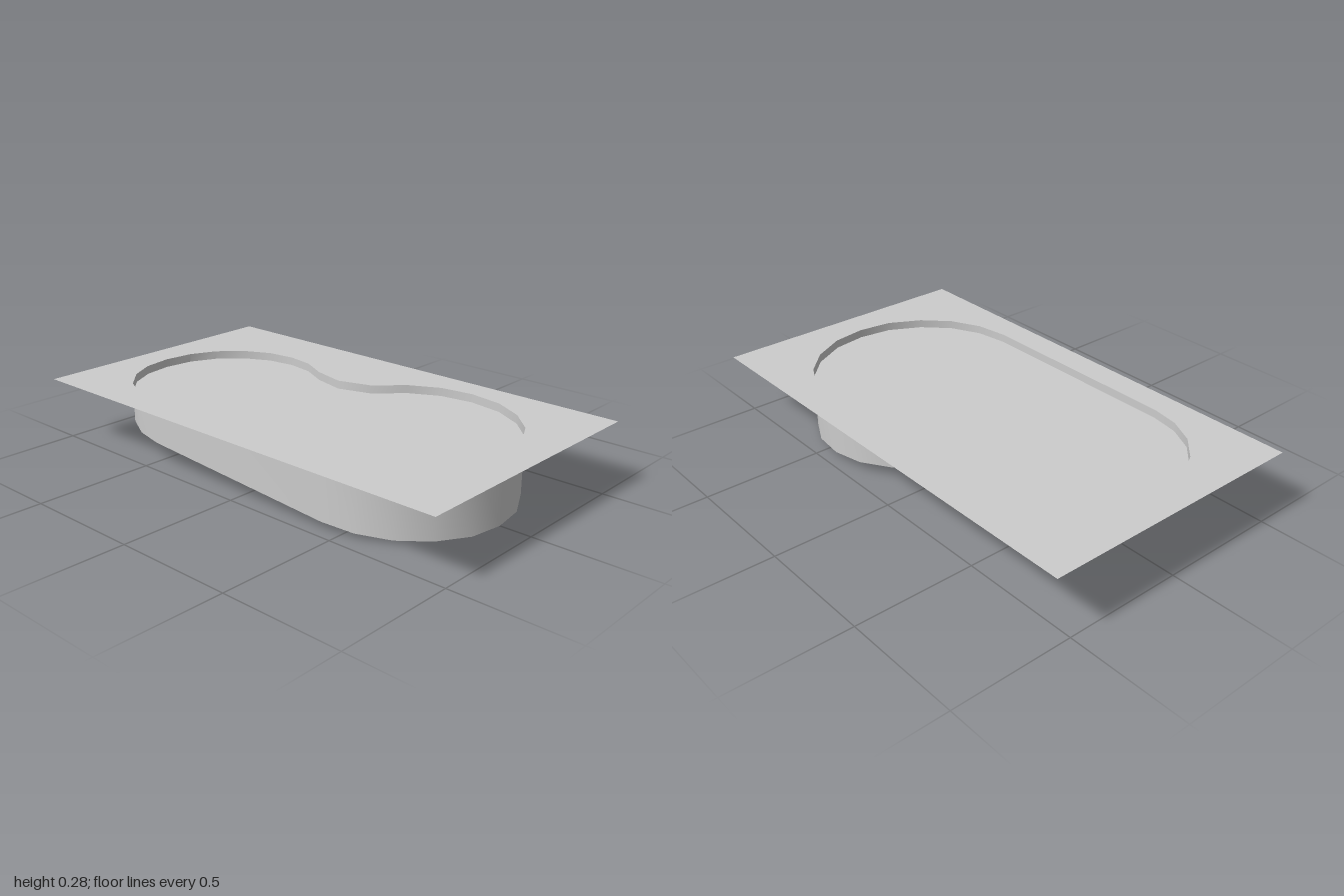
import * as THREE from 'three';
import { toCreasedNormals } from 'three/addons/utils/BufferGeometryUtils.js';

const TOP = 0.275, WATER = 0.24, TREADS = [0.21, 0.165];
const floorY = (x) => 0.0597 * (1 - x / 0.87) ;

// Basin outline as [x, z]; the first three and last two points span the entry steps
const OUTLINE = [
  [-0.87, 0.065], [-0.853, -0.06], [-0.80, -0.17], [-0.71, -0.26], [-0.60, -0.315],
  [-0.48, -0.333], [-0.36, -0.315], [-0.245, -0.258], [-0.105, -0.225], [0.04, -0.27],
  [0.145, -0.375], [0.27, -0.44], [0.41, -0.46], [0.555, -0.438], [0.68, -0.373],
  [0.78, -0.275], [0.85, -0.14], [0.87, 0], [0.85, 0.14], [0.78, 0.27],
  [0.68, 0.37], [0.555, 0.433], [0.42, 0.455], [-0.48, 0.455], [-0.60, 0.435],
  [-0.71, 0.38], [-0.80, 0.29], [-0.853, 0.185],
];

const material = new THREE.MeshStandardMaterial({ color: 0xcccccc, side: THREE.DoubleSide });

function add(group, name, geometry) {
  const mesh = new THREE.Mesh(geometry, material);
  mesh.name = name;
  group.add(mesh);
}

const toPlan = (points) => points.map(([x, z]) => new THREE.Vector2(x, -z));

// Horizontal sheet whose height follows a rule in x
function sheet(points, heightAt, hole) {
  const shape = new THREE.Shape(toPlan(points));
  if (hole) shape.holes.push(new THREE.Path(toPlan(hole)));
  const geometry = new THREE.ShapeGeometry(shape).rotateX(-Math.PI / 2);
  const pos = geometry.attributes.position;
  for (let i = 0; i < pos.count; i++) pos.setY(i, heightAt(pos.getX(i)));
  geometry.computeVertexNormals();
  return geometry;
}

// Upright strip along a path; bottomAt receives x and the segment's middle x
function strip(points, top, bottomAt) {
  const verts = [];
  for (let i = 0; i + 1 < points.length; i++) {
    const [ax, az] = points[i], [bx, bz] = points[i + 1];
    const mid = (ax + bx) / 2;
    const ay = bottomAt(ax, mid), by = bottomAt(bx, mid);
    verts.push(ax, ay, az, ax, top, az, bx, top, bz, ax, ay, az, bx, top, bz, bx, by, bz);
  }
  const geometry = new THREE.BufferGeometry();
  geometry.setAttribute('position', new THREE.Float32BufferAttribute(verts, 3));
  return toCreasedNormals(geometry, 0.75);
}

// Rounded step edge around the entry point, from outline point a to b
function stepArc(a, b, segments = 10) {
  const [cx, cz] = OUTLINE[0];
  const polar = ([x, z]) => [Math.atan2(z - cz, x - cx), Math.hypot(x - cx, z - cz)];
  const [a0, r0] = polar(a), [a1, r1] = polar(b);
  return Array.from({ length: segments + 1 }, (_, i) => {
    const t = i / segments, angle = a0 + (a1 - a0) * t, r = r0 + (r1 - r0) * t;
    return [cx + r * Math.cos(angle), cz + r * Math.sin(angle)];
  });
}

export function createModel() {
  const group = new THREE.Group();
  group.name = 'pool';
  const n = OUTLINE.length;

  // Flat surround with the basin cut out, and the water just below it
  const deck = [[-1, -0.57], [1, -0.57], [1, 0.57], [-1, 0.57]];
  add(group, 'deck', sheet(deck, () => TOP, OUTLINE));
  add(group, 'water', sheet(OUTLINE, () => WATER));

  // Basin wall, shortened where it meets the steps
  const wallBottom = (x, mid) =>
    mid < -0.853 ? TREADS[0] : mid < -0.80 ? TREADS[1] : floorY(x);
  add(group, 'basinWall', strip([...OUTLINE, OUTLINE[0]], TOP, wallBottom));

  // Curved steps at the shallow end
  const upper = stepArc(OUTLINE[1], OUTLINE[n - 1]);
  const lower = stepArc(OUTLINE[2], OUTLINE[n - 2]);
  add(group, 'upperTread', sheet([OUTLINE[0], ...upper], () => TREADS[0]));
  add(group, 'upperRiser', strip(upper, TREADS[0], () => TREADS[1]));
  add(group, 'lowerTread', sheet([...lower, ...[...upper].reverse()], () => TREADS[1]));
  add(group, 'lowerRiser', strip(lower, TREADS[1], floorY));

  // Floor sloping down to the deep end
  const floor = [...OUTLINE.slice(2, n - 1), ...lower.slice(1, -1).reverse()];
  add(group, 'floor', sheet(floor, floorY));

  return group;
}
